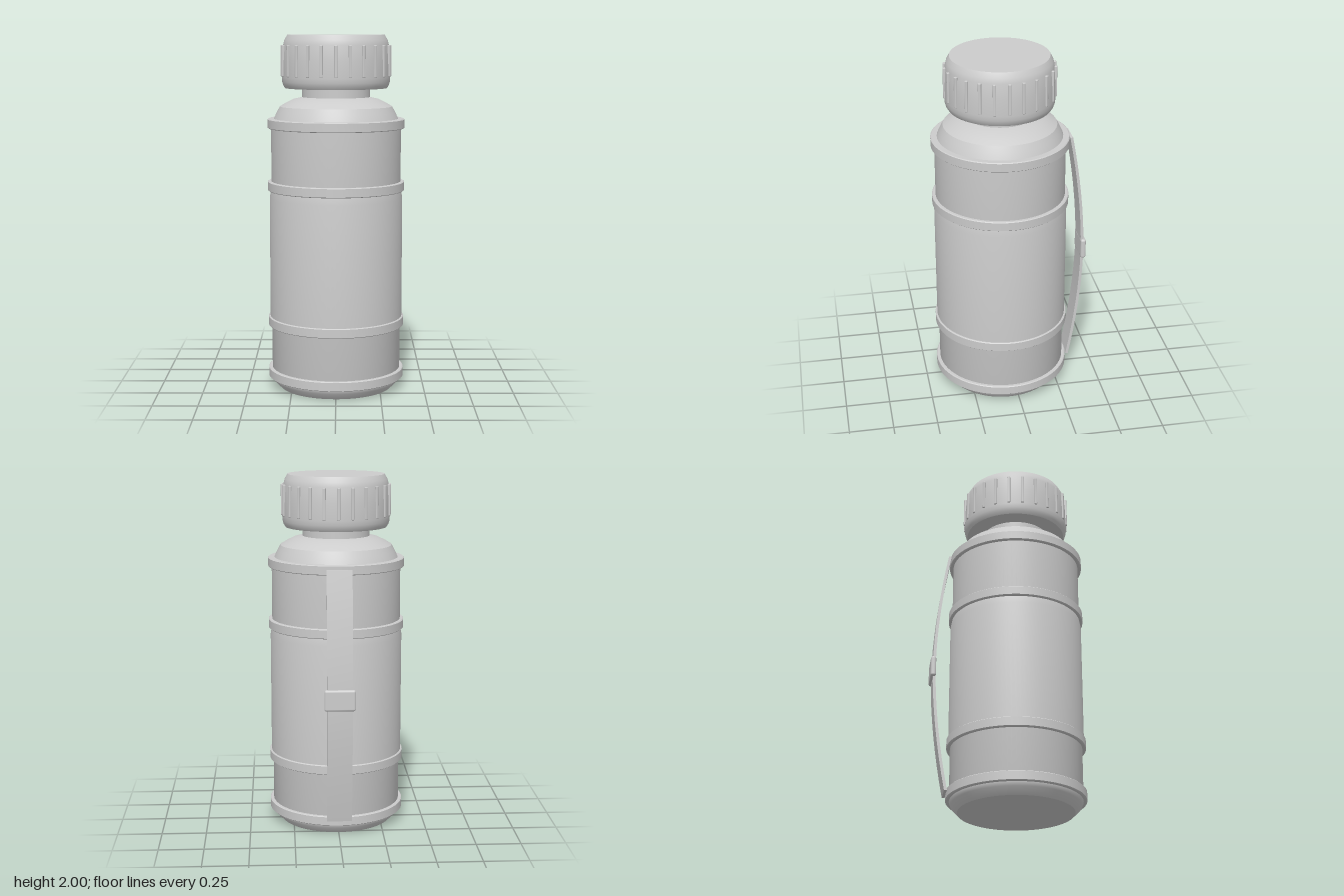
import * as THREE from 'three';
import { toCreasedNormals } from 'three/addons/utils/BufferGeometryUtils.js';
import { RoundedBoxGeometry } from 'three/addons/geometries/RoundedBoxGeometry.js';

export function createModel() {
  const model = new THREE.Group();
  model.name = 'flask';
  const grey = new THREE.MeshStandardMaterial({ color: 0xcccccc });
  grey.name = 'grey';

  // everything round shares an axis set slightly forward of the strap
  const vessel = new THREE.Group();
  vessel.name = 'vessel';
  vessel.position.z = 0.05;
  model.add(vessel);

  const add = (parent, name, geometry) => {
    const mesh = new THREE.Mesh(geometry, grey);
    mesh.name = name;
    parent.add(mesh);
    return mesh;
  };
  const turned = (name, profile) => {
    const points = profile.map(([r, y]) => new THREE.Vector2(r, y));
    return add(vessel, name, toCreasedNormals(new THREE.LatheGeometry(points, 96), 0.45));
  };

  // body with bevelled foot
  turned('body', [[0, 0], [0.32, 0], [0.357, 0.038], [0.365, 0.06], [0.365, 1.5]]);

  // slightly wider grip sleeve, tapering in under the upper ring
  turned('sleeve', [[0.365, 0.37], [0.375, 0.38], [0.375, 1.09], [0.366, 1.14]]);

  // domed shoulder and neck
  turned('shoulder', [[0.367, 1.49], [0.349, 1.535], [0.333, 1.57], [0.315, 1.603], [0.28, 1.624],
    [0.24, 1.643], [0.19, 1.655]]);
  turned('neck', [[0.19, 1.64], [0.19, 1.72]]);

  // reinforcing rings
  for (const y of [0.087, 0.385, 1.157, 1.508]) {
    const h = 0.027;
    turned('ring', [[0.345, y - h], [0.38, y - h], [0.385, y - h + 0.004],
      [0.385, y + h - 0.004], [0.38, y + h], [0.345, y + h]]);
  }

  // screw cap
  turned('cap', [[0, 1.705], [0.285, 1.705], [0.295, 1.72], [0.301, 1.74], [0.303, 1.765],
    [0.301, 1.86], [0.295, 1.945], [0.288, 1.972], [0.272, 2], [0, 2]]);

  // grip ribs around the cap
  const ribGeometry = new RoundedBoxGeometry(0.017, 0.175, 0.016, 2, 0.004);
  for (let i = 0; i < 24; i++) {
    const a = (i / 24) * Math.PI * 2;
    const rib = add(vessel, 'capRib', ribGeometry);
    rib.position.set(Math.sin(a) * 0.302, 1.857, Math.cos(a) * 0.302);
    rib.rotation.y = a;
  }

  // bowed carrying strap down the back
  const steps = 16, outer = [], inner = [];
  for (let i = 0; i <= steps; i++) {
    const t = (i / steps) * 2 - 1;
    const y = 0.803 + t * 0.71;
    const z = -0.418 + 0.077 * Math.pow(Math.abs(t), 1.8);
    outer.push(new THREE.Vector2(z - 0.008, y));
    inner.push(new THREE.Vector2(z + 0.008, y));
  }
  const strapGeometry = new THREE.ExtrudeGeometry(
    new THREE.Shape([...outer, ...inner.reverse()]), { depth: 0.14, bevelEnabled: false });
  strapGeometry.translate(0, 0, -0.07).rotateY(-Math.PI / 2);
  add(model, 'strap', toCreasedNormals(strapGeometry, 0.5));

  // slider on the strap
  add(model, 'strapSlider', new RoundedBoxGeometry(0.172, 0.118, 0.03, 4, 0.012))
    .position.set(0, 0.81, -0.423);

  return model;
}
